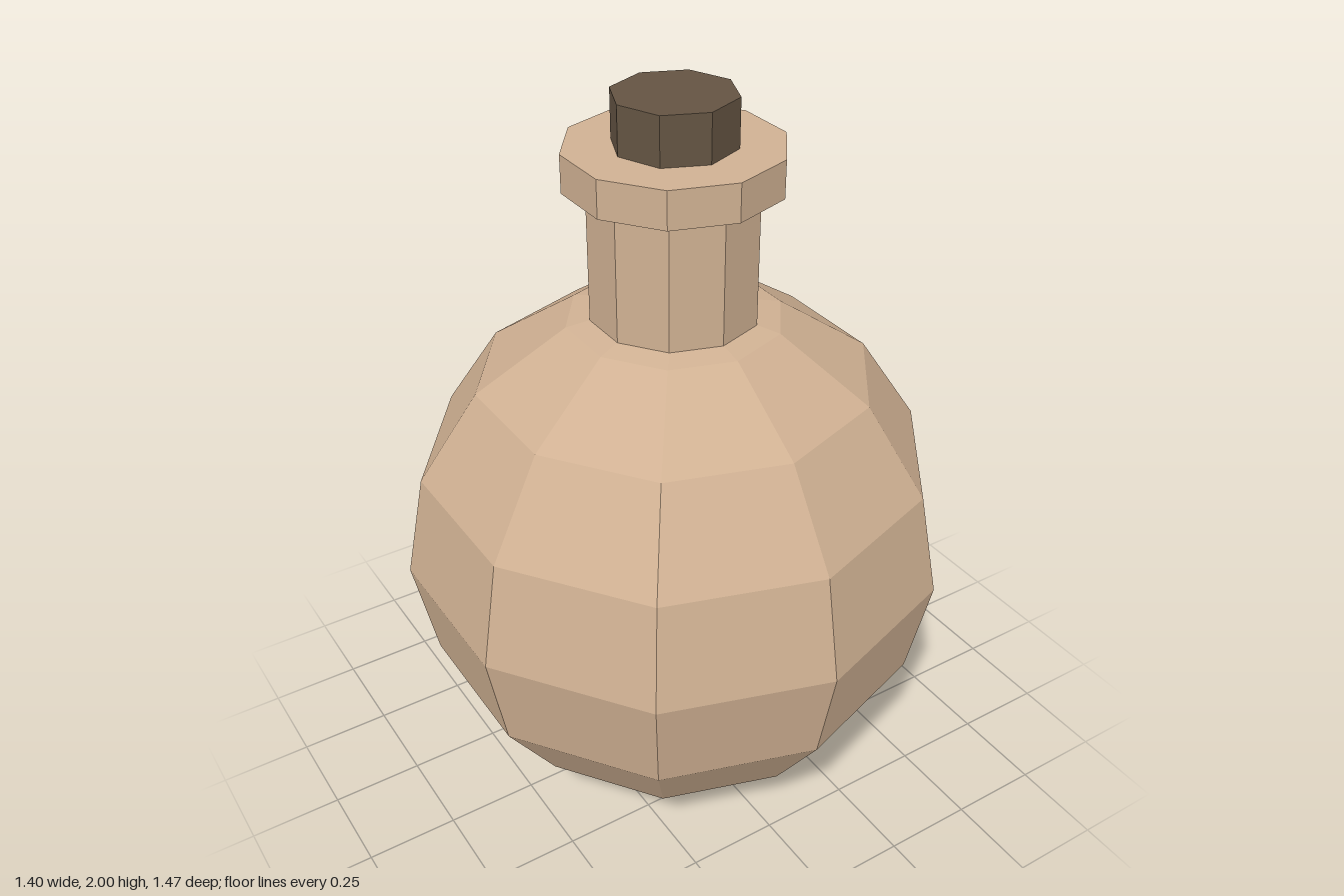
import * as THREE from 'three';

export function createModel() {
  const model = new THREE.Group();
  model.name = 'corkedFlask';

  const clay = new THREE.MeshStandardMaterial({ color: 0xd0b193, flatShading: true });
  clay.name = 'tan clay';
  const cork = new THREE.MeshStandardMaterial({ color: 0x645443, flatShading: true });
  cork.name = 'dark cork';

  const add = (name, geometry, material, y) => {
    const mesh = new THREE.Mesh(geometry, material);
    mesh.name = name;
    mesh.position.y = y;
    model.add(mesh);
  };
  // Upright prism between two heights
  const prism = (name, radius, bottom, top, sides, material) =>
    add(name, new THREE.CylinderGeometry(radius, radius, top - bottom, sides), material, (bottom + top) / 2);

  // Round ten-sided belly, turned so its corners point along z
  const R = 0.737;
  add('body', new THREE.SphereGeometry(R, 10, 8).rotateY(Math.PI / 2), clay, R);

  // Neck sinks into the belly, with a wider lip on top
  prism('neck', 0.22, 1.38, 1.79, 10, clay);
  prism('lip', 0.278, 1.777, 1.875, 10, clay);

  // Eight-sided stopper
  prism('stopper', 0.157, 1.8, 2, 8, cork);

  return model;
}
